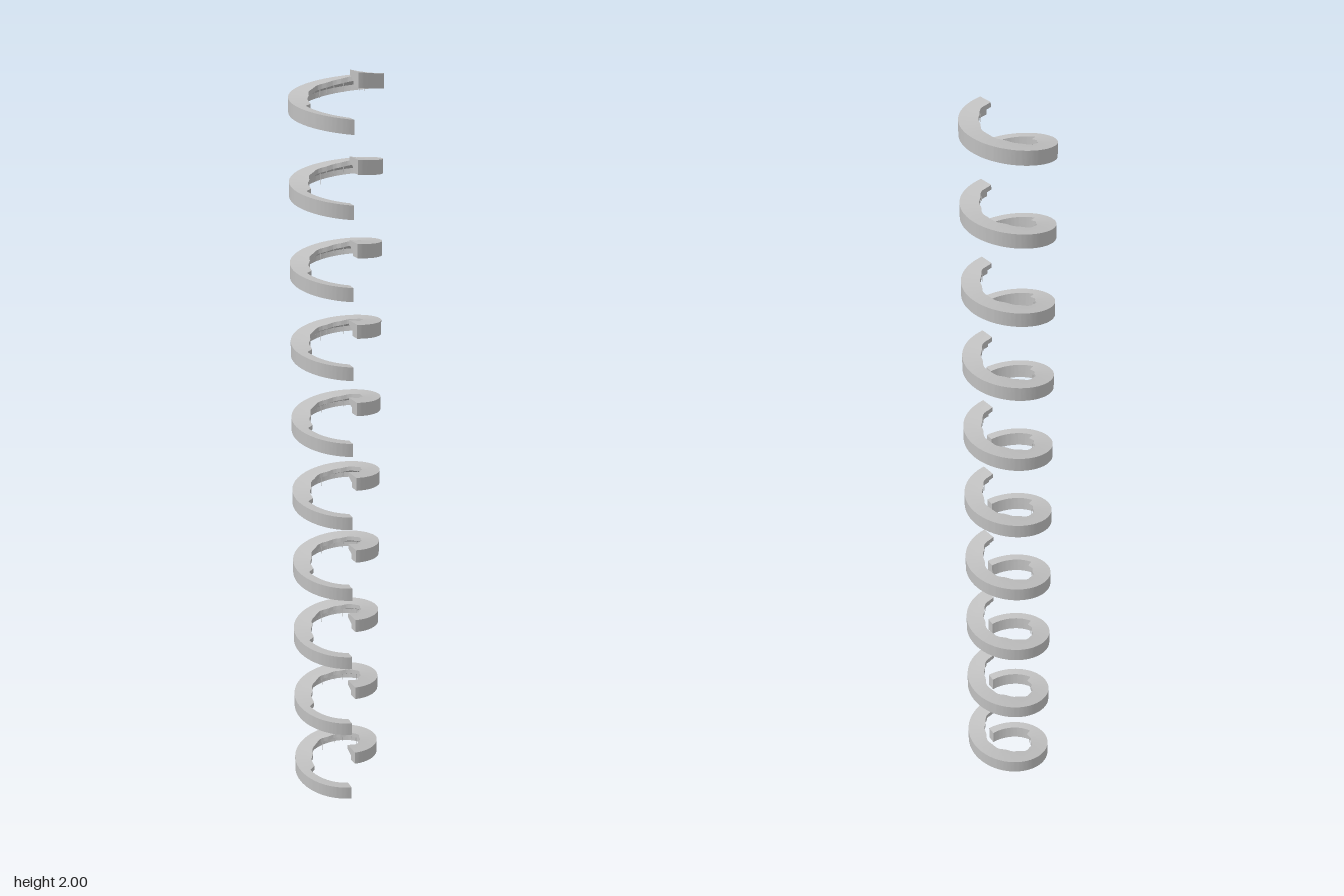
import * as THREE from 'three';
import { mergeGeometries, toCreasedNormals } from 'three/addons/utils/BufferGeometryUtils.js';

const COILS = 10, SPACING = 1.854 / 9;
const START = 38, END = 393, RISE = 0.11;
const OUTER = 0.115, BODY = 0.09, HEIGHT = 0.036, LIP_START = 113;
const rad = THREE.MathUtils.degToRad;

const liftAt = (deg) => RISE * (deg - START) / (END - START);

// Inner radius of the overhanging lip, slightly uneven around the turn
function lipRadius(deg) {
  if (deg <= LIP_START) return BODY;
  const t = Math.min(1, (deg - LIP_START) / 4);
  const wavy = 0.07 + 0.003 * Math.sin(rad(deg * 4 + 20)) + 0.0015 * Math.sin(rad(deg * 11));
  return THREE.MathUtils.lerp(BODY, wavy, t);
}

// One helical turn: an L-shaped section swept upwards with closed ends
function coilGeometry() {
  const positions = [], index = [], n = 6, steps = 142;
  for (let i = 0; i <= steps; i++) {
    const deg = START + (END - START) * i / steps;
    const lip = lipRadius(deg), lift = liftAt(deg), a = rad(deg);
    const section = [[OUTER, 0], [OUTER, HEIGHT], [lip, HEIGHT], [lip, 0.024], [BODY, 0.014], [BODY, 0]];
    for (const [r, y] of section) positions.push(r * Math.cos(a), y + lift, r * Math.sin(a));
  }
  for (let i = 0; i < steps; i++) {
    for (let j = 0; j < n; j++) {
      const p = i * n + j, p1 = i * n + (j + 1) % n;
      index.push(p, p1, p + n, p1, p1 + n, p + n);
    }
  }
  const last = steps * n;
  for (let k = 1; k < n - 1; k++) {
    const a = 1 + k, b = (2 + k) % n;
    index.push(1, b, a);
    index.push(last + 1, last + a, last + b);
  }
  const geometry = new THREE.BufferGeometry();
  geometry.setAttribute('position', new THREE.Float32BufferAttribute(positions, 3));
  geometry.setIndex(index);
  return toCreasedNormals(geometry, rad(25));
}

// Thin pointed drips hanging beneath the inner lip
function dripGeometry() {
  const drips = [];
  for (let i = 0; i < 16; i++) {
    const deg = 128 + i * 16 + 4 * Math.sin(i * 5.1);
    const length = 0.022 + 0.014 * Math.sin(i * 2.7);
    const r = lipRadius(deg) + 0.003, a = rad(deg);
    const drip = new THREE.ConeGeometry(0.0018, length, 4);
    drip.rotateX(Math.PI);
    drip.translate(r * Math.cos(a), liftAt(deg) + 0.026 - length / 2, r * Math.sin(a));
    drips.push(drip);
  }
  return mergeGeometries(drips);
}

export function createModel() {
  const model = new THREE.Group();
  model.name = 'coilColumn';
  const grey = new THREE.MeshStandardMaterial({ color: 0xc0c0c0 });
  grey.name = 'grey';
  const coilShape = coilGeometry(), dripShape = dripGeometry();

  // Stack of identical separate turns
  for (let i = 0; i < COILS; i++) {
    const turn = new THREE.Group();
    turn.name = `turn${i + 1}`;
    const coil = new THREE.Mesh(coilShape, grey);
    coil.name = 'coil';
    const drips = new THREE.Mesh(dripShape, grey);
    drips.name = 'drips';
    turn.add(coil, drips);
    turn.position.y = i * SPACING;
    model.add(turn);
  }
  return model;
}
